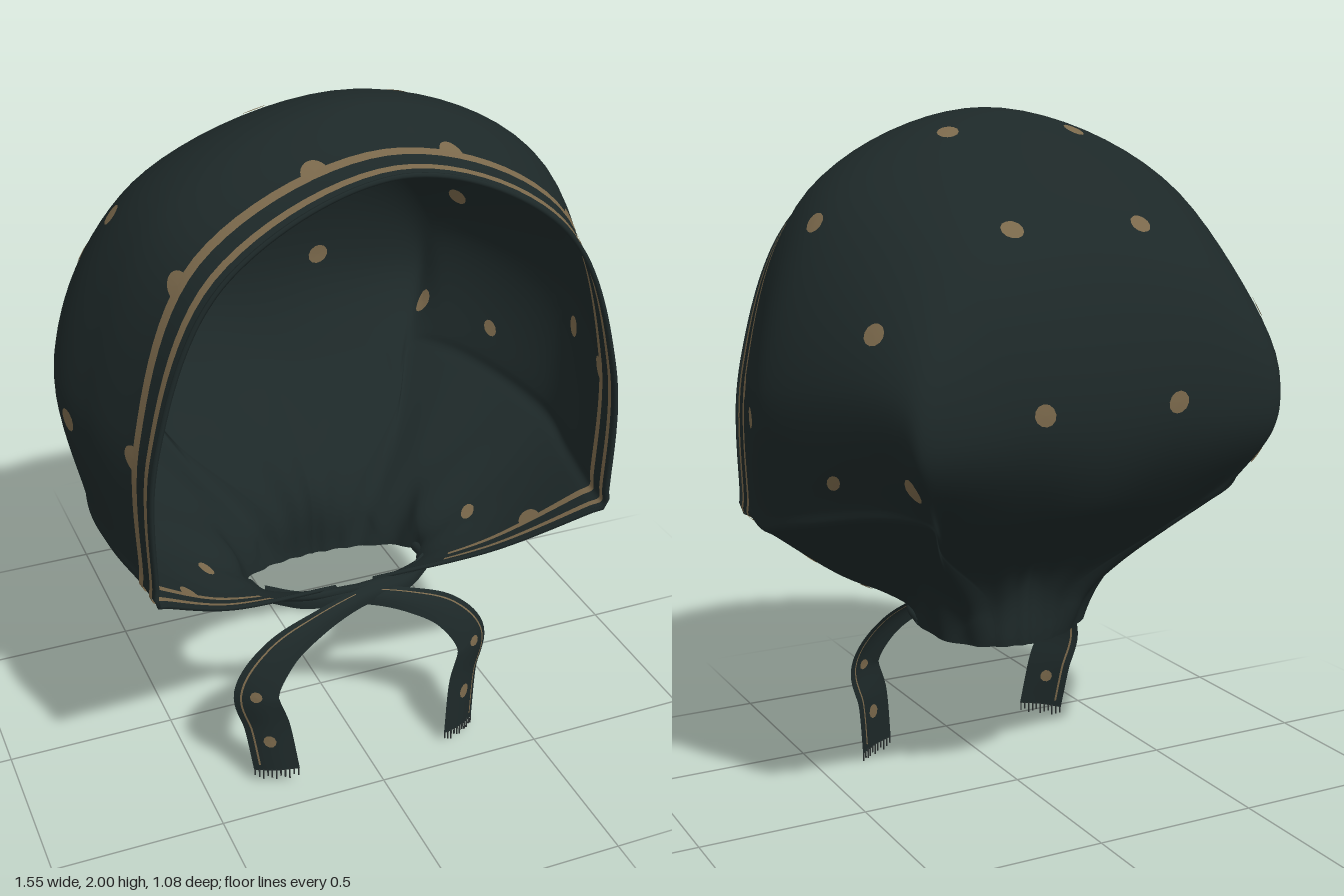
import * as THREE from 'three';

const V = (x, y, z) => new THREE.Vector3(x, y, z);
const curve = (pts) => new THREE.CatmullRomCurve3(pts, false, 'centripetal');
const smooth = THREE.MathUtils.smoothstep;
const ROWS = 8;

// Neck opening: a tilted ellipse, angle 0 in front
const neck = (angle) => {
  const z = .1 + .166 * Math.cos(angle);
  return V(.27 * Math.sin(angle), .472 + .3 * z, z);
};

// Guide curves of the left half, front to back; each ends in the collar and the neck edge
const cheek = [[.40, .63, .36], [.42, .625, .30], [.43, .63, .22], [.42, .65, .11],
  [.34, .67, -.02], [.30, .65, -.05], [.24, .61, -.065]];
const jaw = [[.665, .81, .52], [.675, .815, .42], [.708, .825, .22], [.715, .87, .03],
  [.55, .95, -.31], [.47, .94, -.39], [.36, .82, -.25]];
const temple = [[.652, 1.23, .525], [.668, 1.24, .42], [.735, 1.26, .21], [.77, 1.27, 0],
  [.575, 1.29, -.475], [.53, 1.14, -.515], [.36, .93, -.38]];
const crownSide = [[.465, 1.69, .53], [.49, 1.72, .42], [.53, 1.785, .22], [.53, 1.76, 0],
  [.36, 1.56, -.425], [.28, 1.2, -.532], [.18, .945, -.415]];
const crown = [[0, 1.9, .53], [0, 1.925, .42], [0, 2, .22], [0, 1.945, 0],
  [0, 1.62, -.415], [0, 1.21, -.535], [0, .95, -.44]];

const neckEdge = Array.from({ length: ROWS + 1 }, (_, k) => neck(.22 + .29 * k));
const columns = [cheek, jaw, temple, crownSide, crown].map((pts, c) => {
  const end = neck(2.54 + (Math.PI - 2.54) * (c + 1) / 5);
  const collar = V(end.x * 1.3, end.y + .1 + .03 * c, end.z - .02);
  return [...pts.map((p) => V(...p)), collar, end];
});
// Companions close to the jaw line tighten it into a crease
const between = (a, b, f) => a.map((p, i) => p.clone().lerp(b[i], f));
const [cheekPts, jawPts, templePts] = columns;
columns.splice(1, 1, between(jawPts, cheekPts, .12), jawPts, between(jawPts, templePts, .1));
const guides = [neckEdge, ...columns].map(curve);

// Cloth point: t runs from the left neck edge over the head to the right, s in rows front to back
function cloth(t, s) {
  const half = guides.map((g) => g.getPoint(s / ROWS));
  const mirrored = half.slice(0, -1).reverse().map((p) => V(-p.x, p.y, p.z));
  const p = curve([...half, ...mirrored]).getPoint(t);
  // soft gathers towards the neck
  const k = (1 - smooth(p.y, .6, .95)) * smooth(s, 1.5, 3.5);
  const f = 1 + .02 * k * Math.sin(16 * Math.atan2(Math.abs(p.x), .08 - p.z));
  return V(p.x * f, p.y, .08 + (p.z - .08) * f);
}

function clothFrame(t, s) {
  const e = .004;
  const dT = cloth(t + e, s).sub(cloth(t - e, s)).divideScalar(2 * e);
  const dS = cloth(t, s + e).sub(cloth(t, s - e)).divideScalar(2 * e);
  return { dT, dS, n: dS.clone().cross(dT).normalize() };
}

const lifted = (t, s, lift) => cloth(t, s).addScaledVector(clothFrame(t, s).n, lift);

// Grid surface from a point function of (a, b), both 0..1
function grid(na, nb, fn) {
  const pos = [], index = [];
  for (let i = 0; i <= na; i++) {
    for (let j = 0; j <= nb; j++) {
      pos.push(...fn(i / na, j / nb).toArray());
      if (i < na && j < nb) {
        const a = i * (nb + 1) + j, b = a + nb + 1;
        index.push(a, b, a + 1, b, b + 1, a + 1);
      }
    }
  }
  const g = new THREE.BufferGeometry();
  g.setAttribute('position', new THREE.Float32BufferAttribute(pos, 3));
  g.setIndex(index);
  g.computeVertexNormals();
  return g;
}

export function createModel() {
  const root = new THREE.Group();
  const material = (name, color) => {
    const m = new THREE.MeshStandardMaterial({ color, side: THREE.DoubleSide });
    m.name = name;
    return m;
  };
  const fabric = material('darkGreenFabric', 0x1d2828);
  const gold = material('dullGold', 0x7a684b);
  const thread = material('greyThread', 0x2b3030);
  const add = (name, geo, mat) => {
    const m = new THREE.Mesh(geo, mat);
    m.name = name;
    root.add(m);
  };

  // Main cloth
  add('headscarf', grid(90, 140, (a, b) => cloth(b, a * ROWS)), fabric);

  // Rolled hem round the face opening
  const rim = Array.from({ length: 71 }, (_, i) => cloth(i / 70, 0));
  add('faceHem', new THREE.TubeGeometry(curve(rim), 140, .007, 6), fabric);

  // Two border stripes, on the outside and the inside
  for (const lift of [.004, -.004]) {
    for (const [s0, s1] of [[.22, .42], [.83, 1.04]]) {
      add('borderStripe', grid(2, 140, (a, b) => lifted(.04 + .92 * b, s0 + (s1 - s0) * a, lift)), gold);
    }
  }

  // Spots follow the cloth at the point nearest to a target
  const samples = [];
  for (let i = 1; i < 70; i++) {
    for (let j = 1; j <= 60; j++) {
      const t = j / 120, s = i * ROWS / 70;
      samples.push({ t, s, p: cloth(t, s) });
    }
  }
  const spot = (target, r, half) => {
    const v = V(...target);
    const c = samples.reduce((m, q) => (q.p.distanceToSquared(v) < m.p.distanceToSquared(v) ? q : m));
    const s = half ? 1 : c.s;
    const { dT, dS } = clothFrame(c.t, s);
    for (const lift of [.004, -.004]) {
      for (const side of [1, -1]) {
        add('spot', grid(2, 12, (a, b) => {
          const w = side * b * Math.PI * (half ? 1 : 2);
          const t = c.t + a * r * Math.cos(w) / dT.length();
          const p = lifted(t, s + a * r * side * Math.sin(w) / dS.length(), lift);
          p.x *= side;
          return p;
        }), gold);
      }
    }
  };
  [[.21, 1.73, -.33], [.21, 1.93, .05], [.59, 1.69, .05], [.76, 1.19, .1], [.62, 1.47, -.35],
    [.2, 1.23, -.53], [.53, 1.06, -.43]].forEach((p) => spot(p, .031, false));
  [[.67, 1.05, -.2], [.42, .63, .15]].forEach((p) => spot(p, .024, false));
  [[.19, 1.92, .42], [.54, 1.67, .42], [.68, 1.2, .42], [.5, .69, .36]].forEach((p) => spot(p, .034, true));

  // Tied tails crossing below the chin
  for (const { side, end, z } of [{ side: 1, end: .03, z: 0 }, { side: -1, end: .055, z: .014 }]) {
    const path = curve([
      [-.25, .535, .2], [-.16, .535, .27], [0, .535, .305], [.15, .495, .33], [.27, .43, .345],
      [.345, .32, .355], [.318, .2, .365], [.298, end, .385],
    ].map((p) => V(side * p[0], p[1], p[2] + z)));
    // u along the tail, w across it from -1 to 1
    const ribbon = (u, w, lift) => {
      const T = path.getTangent(u);
      const across = V(-T.y, T.x, -.5 * side).normalize();
      const n = T.clone().cross(across).normalize();
      const width = .026 + .042 * smooth(u, .25, .8);
      return path.getPoint(u).addScaledVector(across, w * width)
        .addScaledVector(n, lift + .006 * Math.cos(w * 2));
    };
    add('tail', grid(60, 6, (a, b) => ribbon(a, 2 * b - 1, 0)), fabric);
    for (const lift of [.004, -.004]) {
      add('tailStripe', grid(50, 1, (a, b) => ribbon(.3 + .68 * a, side * (.62 + .09 * b), lift)), gold);
      for (const u of [.72, .9]) {
        add('tailSpot', grid(1, 10, (a, b) => {
          const w = b * Math.PI * 2;
          return ribbon(u + .02 * a * Math.sin(w), .28 * a * Math.cos(w), lift);
        }), gold);
      }
    }
    // Fringe threads
    for (let i = 0; i < 11; i++) {
      const p = ribbon(1, -.95 + .19 * i, 0);
      const len = .022 + .006 * (i % 3);
      const g = new THREE.BoxGeometry(.004, len, .003);
      g.translate(p.x, Math.max(p.y - len / 2 + .003, len / 2), p.z);
      add('fringe', g, thread);
    }
  }

  // Folded band at the tie, either side of the crossing
  for (const side of [1, -1]) {
    const fold = curve([V(side * .27, .515, .10), V(side * .255, .535, .2),
      V(side * .16, .545, .265), V(0, .55, .29)]);
    add('tieFold', new THREE.TubeGeometry(fold, 24, .014, 8), fabric);
  }
  return root;
}
